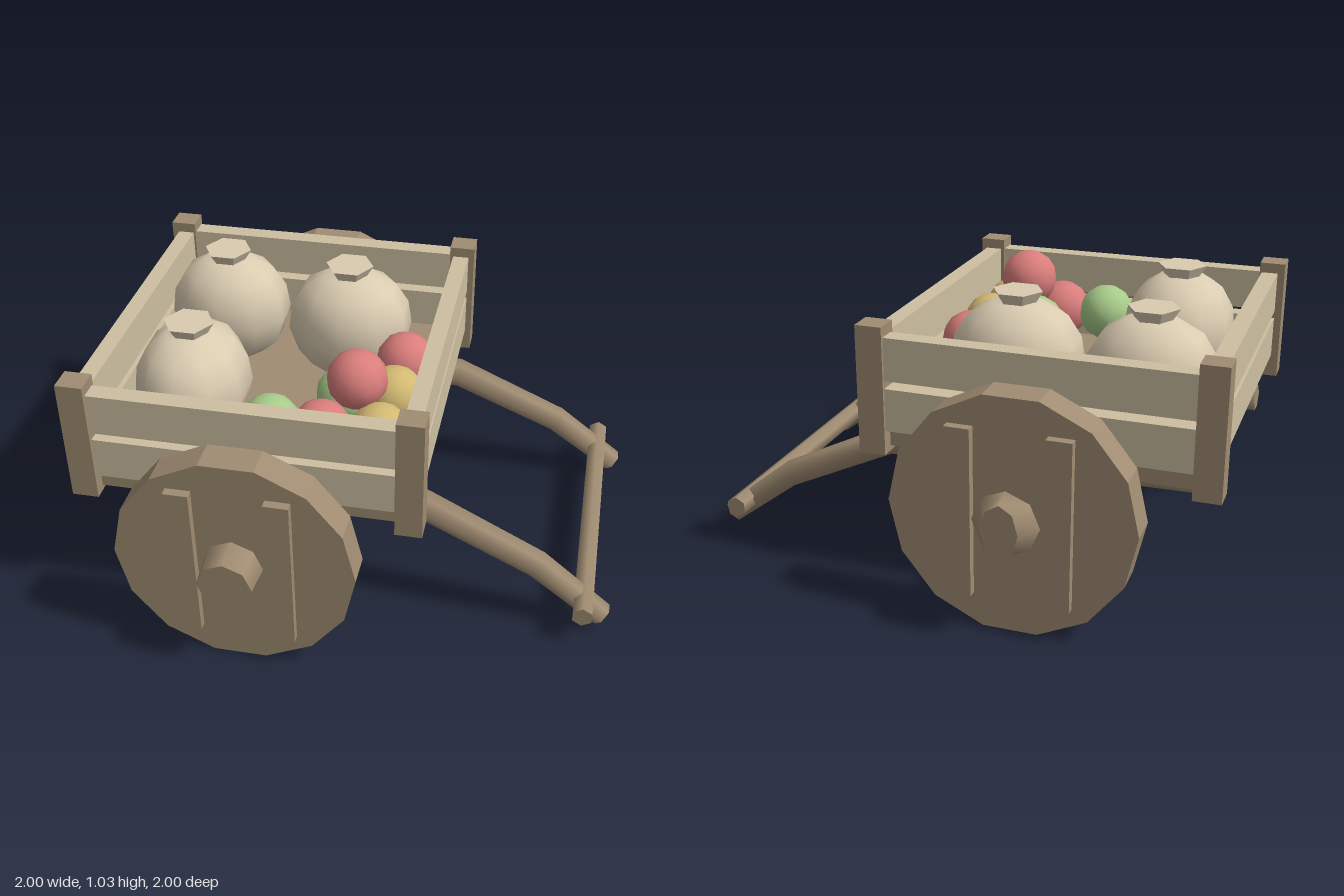
import * as THREE from 'three';

const wood = new THREE.MeshStandardMaterial({ name: 'brown wood', color: 0xa08c72 });
const paleWood = new THREE.MeshStandardMaterial({ name: 'pale wood', color: 0xcebfa1 });
const sackCloth = new THREE.MeshStandardMaterial({ name: 'sack cloth', color: 0xdbccb1 });
const red = new THREE.MeshStandardMaterial({ name: 'red fruit', color: 0xda7e7c });
const yellow = new THREE.MeshStandardMaterial({ name: 'yellow fruit', color: 0xd3b972 });
const green = new THREE.MeshStandardMaterial({ name: 'green fruit', color: 0xa8cc8a });

const AXLE_X = -0.335, AXLE_Y = 0.435;

function add(parent, name, geometry, material, x = 0, y = 0, z = 0) {
  const mesh = new THREE.Mesh(geometry, material);
  mesh.name = name;
  mesh.position.set(x, y, z);
  parent.add(mesh);
  return mesh;
}

// Box given by its min and max on each axis
function box(parent, name, material, [x0, x1], [y0, y1], [z0, z1]) {
  return add(parent, name, new THREE.BoxGeometry(x1 - x0, y1 - y0, z1 - z0), material,
    (x0 + x1) / 2, (y0 + y1) / 2, (z0 + z1) / 2);
}

// Cylinder lying along z; rFront is the radius at the +z end
function rod(rFront, rBack, length, sides, start = 0) {
  return new THREE.CylinderGeometry(rFront, rBack, length, sides, 1, false, start).rotateX(Math.PI / 2);
}

function flat(geometry) {
  const g = geometry.toNonIndexed();
  g.computeVertexNormals();
  return g;
}

// Hexagonal pole lofted through points in the xy plane that also drift in z
function pole(points, radii, sides = 6) {
  const pos = [], index = [];
  const ring = (i) => {
    const a = points[Math.max(i - 1, 0)], b = points[Math.min(i + 1, points.length - 1)];
    const t = b.clone().sub(a).normalize();
    const w = new THREE.Vector3(0, 0, 1).addScaledVector(t, -t.z).normalize();
    const u = new THREE.Vector3().crossVectors(w, t);
    for (let k = 0; k < sides; k++) {
      const ang = (k / sides) * Math.PI * 2;
      const p = points[i].clone().addScaledVector(w, Math.cos(ang) * radii[i])
        .addScaledVector(u, Math.sin(ang) * radii[i]);
      pos.push(p.x, p.y, p.z);
    }
  };
  points.forEach((_, i) => ring(i));
  for (let i = 0; i < points.length - 1; i++) {
    for (let k = 0; k < sides; k++) {
      const a = i * sides + k, b = i * sides + (k + 1) % sides;
      index.push(a, a + sides, b, b, a + sides, b + sides);
    }
  }
  // end caps on their own rings so they stay sharp
  const n = points.length * sides;
  ring(0);
  ring(points.length - 1);
  for (let k = 1; k < sides - 1; k++) {
    index.push(n, n + k, n + k + 1);
    index.push(n + sides, n + sides + k + 1, n + sides + k);
  }
  const g = new THREE.BufferGeometry();
  g.setAttribute('position', new THREE.Float32BufferAttribute(pos, 3));
  // turn the faces outward if the first side faces the pole's axis
  const P = (i) => new THREE.Vector3().fromArray(pos, index[i] * 3);
  const normal = P(1).sub(P(0)).cross(P(2).sub(P(0)));
  if (normal.dot(P(0).sub(points[0])) < 0) {
    for (let i = 0; i < index.length; i += 3) [index[i], index[i + 1]] = [index[i + 1], index[i]];
  }
  g.setIndex(index);
  g.computeVertexNormals();
  return g;
}

function buildBed() {
  const bed = new THREE.Group();
  bed.name = 'cartBed';
  box(bed, 'floor', wood, [-0.95, 0.25], [0.52, 0.585], [-0.64, 0.64]);
  for (const x of [-0.952, 0.254]) {
    for (const z of [-0.64, 0.64]) {
      box(bed, 'cornerPost', wood, [x - 0.05, x + 0.05], [0.5, 0.98], [z - 0.048, z + 0.048]);
    }
  }
  // two slats on each of the four sides
  for (const y of [[0.59, 0.75], [0.78, 0.94]]) {
    for (const z of [-0.642, 0.638]) {
      box(bed, 'sideSlat', paleWood, [-0.94, 0.24], y, [z - 0.035, z + 0.035]);
    }
    for (const x of [-0.942, 0.249]) {
      box(bed, 'endSlat', paleWood, [x - 0.032, x + 0.032], y, [-0.63, 0.63]);
    }
  }
  return bed;
}

function buildWheels() {
  const wheels = new THREE.Group();
  wheels.name = 'wheels';
  add(wheels, 'axle', rod(0.053, 0.053, 1.76, 8), wood, AXLE_X, AXLE_Y, 0);
  for (const side of [1, -1]) {
    add(wheels, 'wheel', flat(rod(0.44, 0.44, 0.122, 14, Math.PI / 14)), wood, AXLE_X, AXLE_Y, side * 0.824);
    for (const dx of [-0.175, 0.175]) {
      add(wheels, 'wheelBatten', new THREE.BoxGeometry(0.09, 0.62, 0.06), wood, AXLE_X + dx, 0.44, side * 0.888);
    }
  }
  add(wheels, 'frontHub', rod(0.1, 0.122, 0.28, 8), wood, AXLE_X, AXLE_Y, 0.86);
  // the back hub narrows more sharply across than in height
  const hub = rod(0.12, 0.1, 0.07, 8);
  const p = hub.attributes.position;
  for (let i = 0; i < p.count; i++) if (p.getZ(i) < 0) p.setX(i, p.getX(i) * 0.66);
  hub.computeVertexNormals();
  add(wheels, 'backHub', hub, wood, AXLE_X, AXLE_Y, -0.965);
  return wheels;
}

function buildShafts() {
  const shafts = new THREE.Group();
  shafts.name = 'pullShafts';
  for (const s of [1, -1]) {
    const points = [[-0.95, 0.46, 0.42], [0.28, 0.46, 0.455], [0.71, 0.26, 0.475], [0.97, 0.062, 0.487]]
      .map(([x, y, z]) => new THREE.Vector3(x, y, z * s));
    add(shafts, 'shaft', pole(points, [0.053, 0.058, 0.052, 0.046]), wood);
  }
  add(shafts, 'crossbar', rod(0.041, 0.041, 1.2, 6), wood, 0.895, 0.138, 0);
  return shafts;
}

function buildLoad() {
  const load = new THREE.Group();
  load.name = 'load';
  // tied sacks: centre x, z and half widths
  const profile = [[0, 0.58], [0.55, 0.58], [0.86, 0.65], [1, 0.76], [0.94, 0.86], [0.74, 0.94], [0.4, 0.99], [0, 1.0]]
    .map(([x, y]) => new THREE.Vector2(x, y));
  for (const [x, z, rx, rz] of [[-0.665, -0.31, 0.245, 0.215], [-0.153, -0.27, 0.253, 0.222], [-0.645, 0.267, 0.217, 0.262]]) {
    const body = new THREE.LatheGeometry(profile, 10);
    body.scale(rx, 1, rz);
    add(load, 'sack', body, sackCloth, x, 0, z);
    add(load, 'sackNeck', flat(new THREE.CylinderGeometry(0.095, 0.065, 0.05, 6, 1, false, Math.PI / 6)),
      sackCloth, x, 1.01, z);
  }
  // heap of round fruit
  const fruit = [
    [red, 0.11, 0.75, -0.064], [yellow, 0.11, 0.75, 0.18], [green, -0.07, 0.75, 0.21],
    [red, 0, 0.903, 0.33], [yellow, 0.1, 0.75, 0.43], [red, -0.11, 0.75, 0.45], [green, -0.3, 0.75, 0.45],
  ];
  for (const [material, x, y, z] of fruit) {
    add(load, 'fruit', new THREE.SphereGeometry(0.113, 12, 8), material, x, y, z);
  }
  return load;
}

export function createModel() {
  const cart = new THREE.Group();
  cart.name = 'handcart';
  cart.add(buildBed(), buildWheels(), buildShafts(), buildLoad());
  return cart;
}
